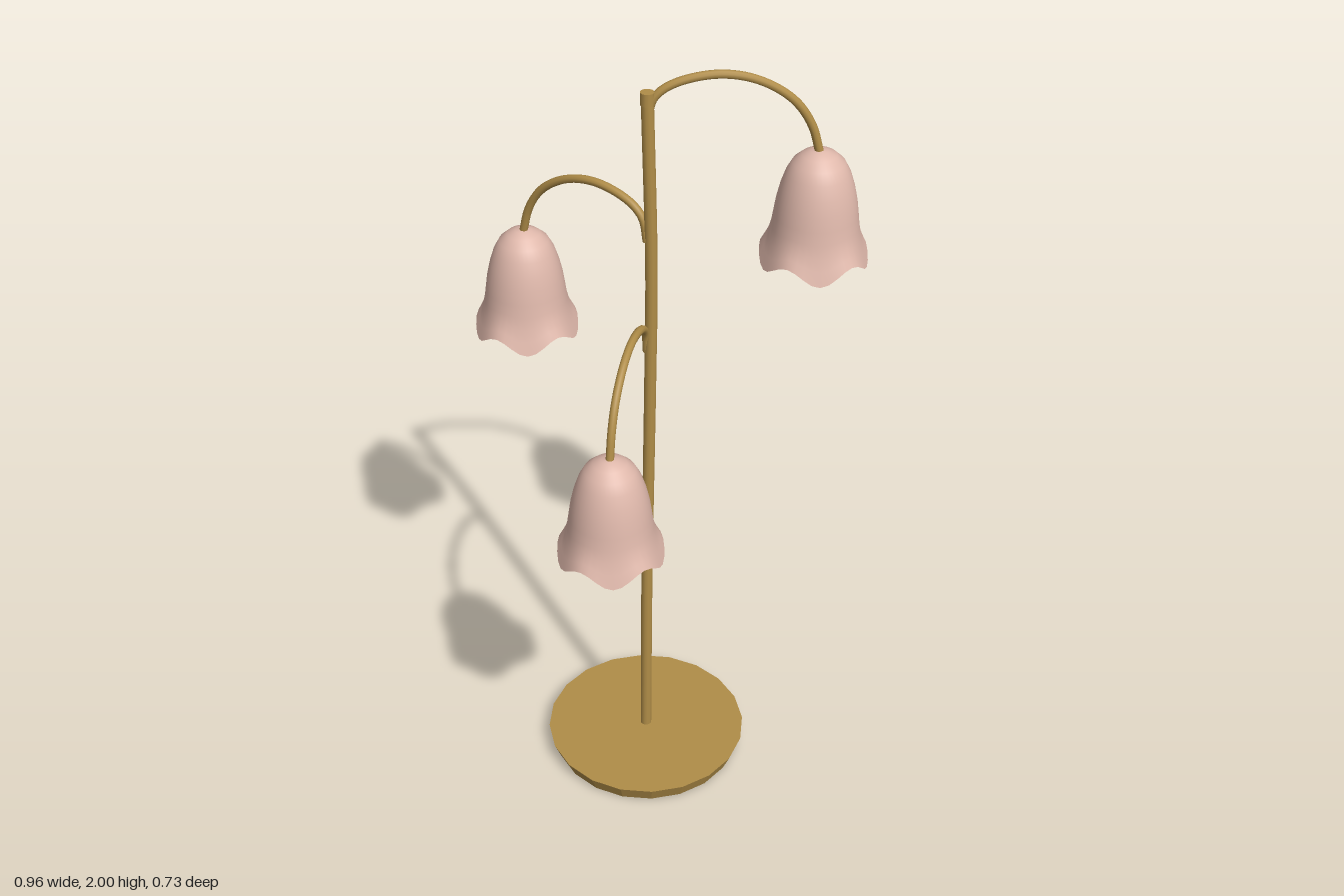
import * as THREE from 'three';
import { mergeVertices } from 'three/addons/utils/BufferGeometryUtils.js';

const brass = new THREE.MeshStandardMaterial({ name: 'brass', color: 0xb08d48 });
const blush = new THREE.MeshStandardMaterial({ name: 'blush glass', color: 0xdfb8ab, side: THREE.DoubleSide });

const POLE = { x: -0.014, z: -0.095 };

function add(group, name, geometry, material) {
  const mesh = new THREE.Mesh(geometry, material);
  mesh.name = name;
  group.add(mesh);
  return mesh;
}

// Bell profile, revolved, with the hem waved into five lobes
function bellGeometry() {
  const profile = [
    [0.127, -0.268], [0.117, -0.242], [0.108, -0.218], [0.102, -0.19], [0.098, -0.16], [0.093, -0.125],
    [0.085, -0.09], [0.074, -0.056], [0.06, -0.03], [0.04, -0.012], [0.02, -0.003], [0.0001, 0],
  ].map(([r, y]) => new THREE.Vector2(r, y));
  let geo = new THREE.LatheGeometry(profile, 40);
  const p = geo.attributes.position;
  for (let i = 0; i < p.count; i++) {
    const y = p.getY(i);
    const w = Math.max(0, (-y - 0.14) / 0.128);
    p.setY(i, y - 0.018 * w * w * Math.cos(5 * Math.atan2(p.getZ(i), p.getX(i))));
  }
  // weld the seam so the shading stays smooth
  geo.deleteAttribute('uv');
  geo.deleteAttribute('normal');
  geo = mergeVertices(geo, 1e-5);
  geo.computeVertexNormals();
  return geo;
}

// Arching arm: [share of the reach, height above the shade]
const ARCH = [[0, 0.085], [0.03, 0.138], [0.09, 0.163], [0.21, 0.183], [0.4, 0.193],
  [0.58, 0.182], [0.74, 0.153], [0.86, 0.114], [0.95, 0.058], [1, -0.008]];

function armGeometry(end) {
  const pts = ARCH.map(([u, h]) => new THREE.Vector3(
    THREE.MathUtils.lerp(POLE.x, end.x, u), end.y + h, THREE.MathUtils.lerp(POLE.z, end.z, u)));
  return new THREE.TubeGeometry(new THREE.CatmullRomCurve3(pts), 40, 0.01, 10);
}

export function createModel() {
  const lamp = new THREE.Group();
  lamp.name = 'floorLamp';

  // Faceted foot, wider at the top
  const base = add(lamp, 'base', new THREE.CylinderGeometry(0.268, 0.25, 0.045, 20).toNonIndexed(), brass);
  base.geometry.computeVertexNormals();
  base.position.set(POLE.x, 0.0225, POLE.z);

  // Slightly bowed pole with a flat top
  const path = new THREE.CatmullRomCurve3(
    [[-0.014, 0.03], [-0.012, 0.6], [-0.005, 1.2], [-0.003, 1.5], [-0.014, 1.948]]
      .map(([x, y]) => new THREE.Vector3(x, y, POLE.z)));
  add(lamp, 'pole', new THREE.TubeGeometry(path, 32, 0.015, 12), brass);
  const cap = add(lamp, 'poleCap', new THREE.CylinderGeometry(0.016, 0.016, 0.03, 12), brass);
  cap.position.set(POLE.x, 1.936, POLE.z);

  // Three arms at stepped heights, each with a hanging bell shade
  const bell = bellGeometry();
  const ends = {
    left: new THREE.Vector3(0.351, 1.793, -0.23),
    right: new THREE.Vector3(-0.354, 1.493, -0.219),
    front: new THREE.Vector3(-0.015, 1.193, 0.235),
  };
  for (const [side, end] of Object.entries(ends)) {
    add(lamp, side + 'Arm', armGeometry(end), brass);
    add(lamp, side + 'Shade', bell, blush).position.copy(end);
  }
  return lamp;
}
